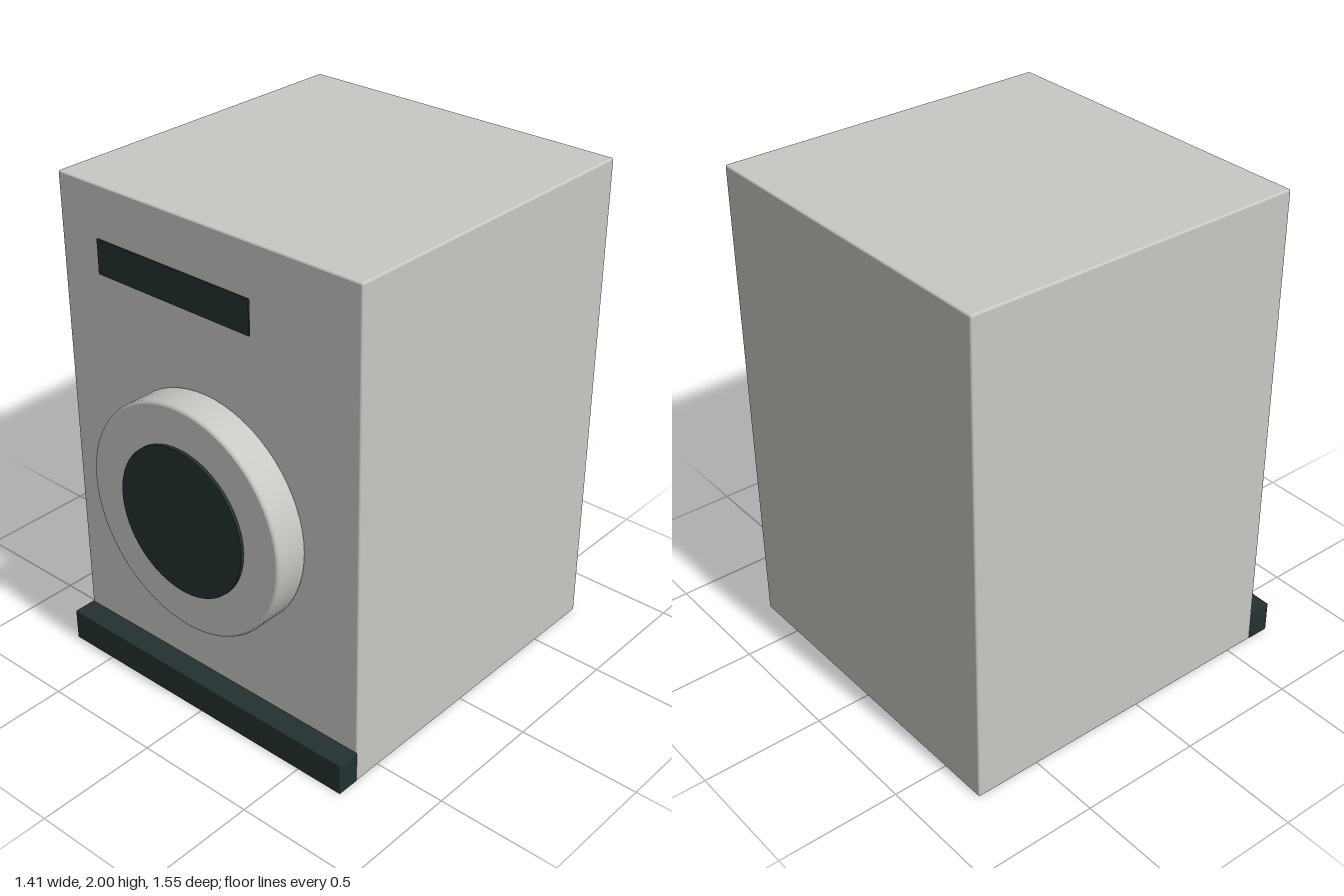
import * as THREE from 'three';
import { RoundedBoxGeometry } from 'three/addons/geometries/RoundedBoxGeometry.js';

export function createModel() {
  const group = new THREE.Group();
  const casing = new THREE.MeshStandardMaterial({ name: 'casing grey', color: 0xc8c8c4 });
  const dark = new THREE.MeshStandardMaterial({ name: 'dark slate', color: 0x233130 });

  const add = (name, geometry, material, x, y, z) => {
    const mesh = new THREE.Mesh(geometry, material);
    mesh.name = name;
    mesh.position.set(x, y, z);
    group.add(mesh);
    return mesh;
  };

  // Cabinet with finely softened edges
  add('cabinet', new RoundedBoxGeometry(1.41, 2, 1.397, 2, 0.008), casing, 0, 1, -0.0765);

  // Round door, softened at both rims, turned to face the front
  const r = 0.462, depth = 0.14, b = 0.01;
  const profile = [
    [0, 0], [r - b - 0.002, 0], [r - b, 0], [r - b * 0.3, b * 0.3], [r, b], [r, b + 0.002],
    [r, depth - b - 0.002], [r, depth - b], [r - b * 0.3, depth - b * 0.3],
    [r - b, depth], [r - b - 0.002, depth], [0, depth],
  ].map(([x, y]) => new THREE.Vector2(x, y));
  const door = new THREE.LatheGeometry(profile, 64).rotateX(Math.PI / 2);
  add('door', door, casing, 0, 0.893, 0.622);

  // Dark glass disc standing just proud of the door
  const glass = new THREE.CylinderGeometry(0.3, 0.3, 0.016, 64).rotateX(Math.PI / 2);
  add('doorGlass', glass, dark, 0, 0.893, 0.767);

  // Thin display strip, set forward level with the door face
  add('displayPanel', new THREE.BoxGeometry(0.708, 0.132, 0.006), dark, 0, 1.821, 0.763);

  // Plinth along the front foot
  add('plinth', new RoundedBoxGeometry(1.41, 0.132, 0.096, 2, 0.004), dark, 0, 0.066, 0.668);

  return group;
}
